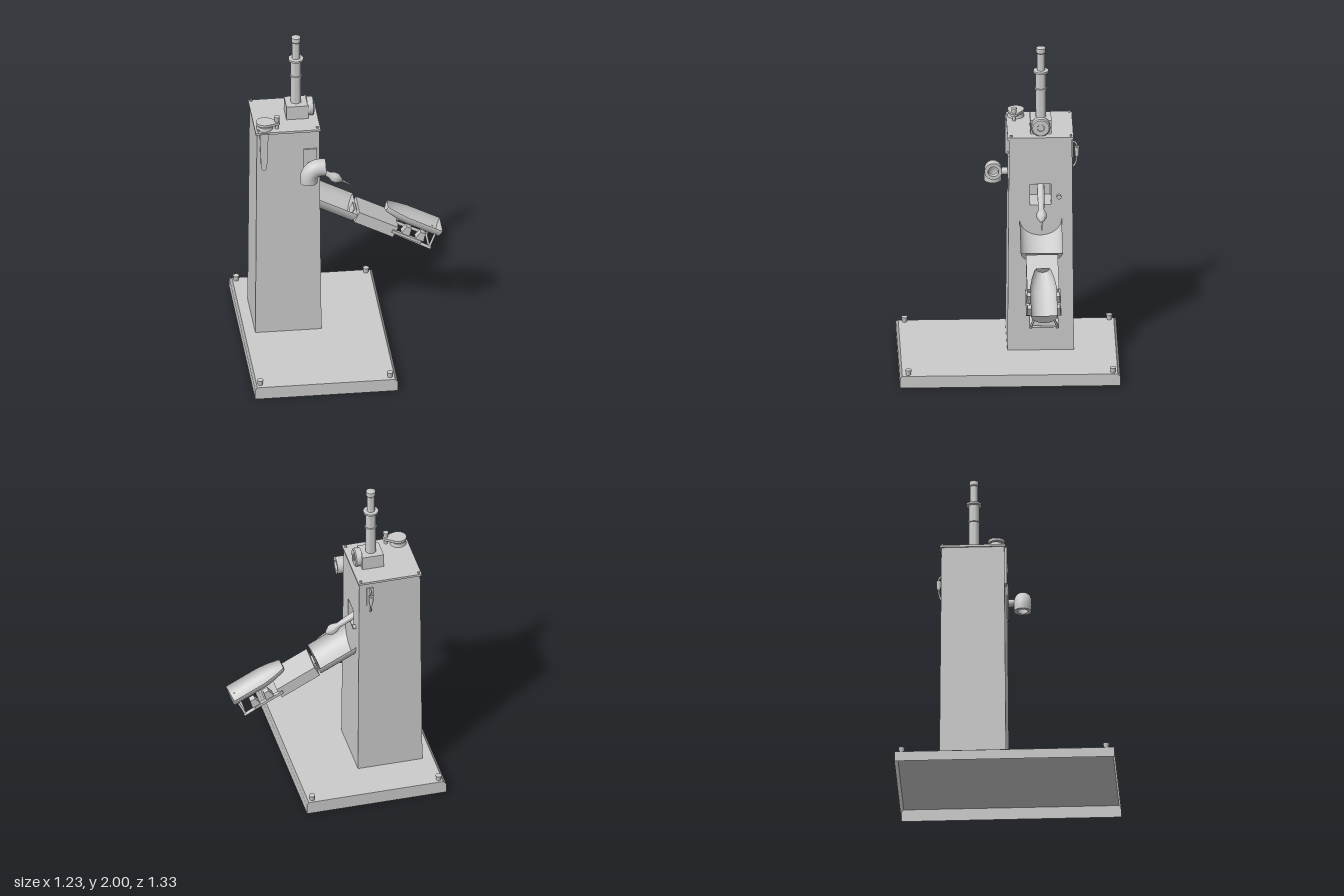
import * as THREE from 'three';
import { toCreasedNormals } from 'three/addons/utils/BufferGeometryUtils.js';

const grey = new THREE.MeshStandardMaterial({ color: 0xcccccc });
const thin = new THREE.MeshStandardMaterial({ color: 0xcccccc, side: THREE.DoubleSide });
const V = (x, y, z) => new THREE.Vector3(x, y, z);

function add(parent, name, geo, x = 0, y = 0, z = 0, mat = grey) {
  const m = new THREE.Mesh(geo, mat);
  m.name = name;
  m.position.set(x, y, z);
  parent.add(m);
  return m;
}
// box given by its limits
function box(parent, name, x0, x1, y0, y1, z0, z1) {
  return add(parent, name, new THREE.BoxGeometry(x1 - x0, y1 - y0, z1 - z0),
    (x0 + x1) / 2, (y0 + y1) / 2, (z0 + z1) / 2);
}
const cyl = (r, h, r2 = r, n = 24) => new THREE.CylinderGeometry(r2, r, h, n);
const lathe = (pts) => toCreasedNormals(
  new THREE.LatheGeometry(pts.map(p => new THREE.Vector2(p[0], p[1])), 24), 0.6);

// rod between two points
function rod(parent, name, a, b, r) {
  const d = b.clone().sub(a);
  const m = add(parent, name, cyl(r, d.length(), r, 12));
  m.position.copy(a).addScaledVector(d, 0.5);
  m.quaternion.setFromUnitVectors(V(0, 1, 0), d.normalize());
}

// open-topped scoop with closed ends; stations are [distance, half width, depth]
function scoop(stations, top) {
  const N = 20, pos = [];
  const pt = ([s, w, d], j) => {
    const a = Math.PI * j / N;
    return [s, top - d * Math.sin(a), w * Math.cos(a)];
  };
  for (let i = 0; i < stations.length - 1; i++) {
    for (let j = 0; j < N; j++) {
      const a = pt(stations[i], j), b = pt(stations[i + 1], j);
      const c = pt(stations[i + 1], j + 1), d = pt(stations[i], j + 1);
      pos.push(...a, ...d, ...c, ...a, ...c, ...b);
    }
  }
  const first = stations[0], last = stations[stations.length - 1];
  for (let j = 0; j < N; j++) {
    pos.push(first[0], top, 0, ...pt(first, j + 1), ...pt(first, j));
    pos.push(last[0], top, 0, ...pt(last, j), ...pt(last, j + 1));
  }
  const g = new THREE.BufferGeometry();
  g.setAttribute('position', new THREE.Float32BufferAttribute(pos, 3));
  return toCreasedNormals(g, 0.6);
}

// box without some faces, tapering toward the top
function taperBox(w, h, d, topX, topZ, skip) {
  const g = new THREE.BoxGeometry(w, h, d), p = g.attributes.position;
  for (let i = 0; i < p.count; i++) {
    if (p.getY(i) > 0) p.setXYZ(i, p.getX(i) * topX, p.getY(i), p.getZ(i) * topZ);
  }
  g.setIndex([...g.index.array].filter((v, i) => !skip.includes(Math.floor(i / 6))));
  return g;
}

function buildBase(root) {
  const base = new THREE.Group();
  base.name = 'base';
  root.add(base);
  // hollow tray, open below, with a bevelled top edge
  add(base, 'baseWall', taperBox(0.864, 0.06, 1.325, 1, 1, [2, 3]), -0.185, 0.03, 0, thin);
  add(base, 'baseBevel', taperBox(0.864, 0.01, 1.325, 0.965, 0.977, [3]), -0.185, 0.065, 0, thin);
  for (const x of [-0.58, 0.205]) for (const z of [-0.62, 0.61]) {
    add(base, 'baseBolt', cyl(0.014, 0.032, 0.019), x, 0.086, z);
  }
}

function buildColumn(root) {
  const col = new THREE.Group();
  col.name = 'column';
  root.add(col);
  const cx = -0.338, cz = -0.195, h = 1.38, k = 0.945;
  add(col, 'columnBody', taperBox(0.4, h, 0.4, k, k, [0]), cx, 0.07 + h / 2, cz);
  // side wall with the pocket opening
  const wall = new THREE.Shape([[-0.005, 0.07], [0.395, 0.07], [0.384, 1.45], [0.006, 1.45]]
    .map(p => new THREE.Vector2(...p)));
  wall.holes.push(new THREE.Path([[0.13, 1.02], [0.13, 1.155], [0.257, 1.155], [0.257, 1.02]]
    .map(p => new THREE.Vector2(...p))));
  const g = new THREE.ShapeGeometry(wall);
  g.rotateY(Math.PI / 2);
  const p = g.attributes.position;
  for (let i = 0; i < p.count; i++) p.setX(i, cx + 0.2 - 0.011 * (p.getY(i) - 0.07) / h);
  g.computeVertexNormals();
  add(col, 'columnSideWall', g, 0, 0, 0, thin);
  add(col, 'pocket', taperBox(0.155, 0.135, 0.127, 1, 1, [0]), -0.2235, 1.0875, -0.1935, thin);
  // lid with corner pins
  box(col, 'lid', -0.535, -0.142, 1.448, 1.462, -0.393, 0.003);
  for (const x of [-0.518, -0.16]) for (const z of [-0.378, -0.018]) {
    add(col, 'lidPin', cyl(0.007, 0.012), x, 1.467, z);
  }
  const stub = add(col, 'sideStub', cyl(0.014, 0.03), -0.143, 1.075, -0.305);
  stub.rotation.z = Math.PI / 2;
}

function buildMast(root) {
  const mast = new THREE.Group();
  mast.name = 'mast';
  root.add(mast);
  box(mast, 'mastBlock', -0.333, -0.2, 1.46, 1.55, -0.262, -0.135);
  const wheel = add(mast, 'mastWheel', lathe([[0, 0], [0.057, 0], [0.057, 0.036],
    [0.05, 0.042], [0.022, 0.042], [0.02, 0.038], [0, 0.038]]), -0.205, 1.515, -0.197);
  wheel.rotation.z = -Math.PI / 2;
  add(mast, 'mastTube', lathe([[0.032, 1.54], [0.032, 1.725], [0.037, 1.727], [0.037, 1.737],
    [0.032, 1.739], [0.032, 1.838], [0.046, 1.84], [0.046, 1.852], [0.024, 1.854],
    [0.024, 1.965], [0.028, 1.97], [0.028, 1.998], [0.025, 2], [0, 2]]), -0.268, 0, -0.2);
}

function buildCrank(root) {
  const crank = new THREE.Group();
  crank.name = 'crank';
  root.add(crank);
  add(crank, 'crankFoot', cyl(0.05, 0.022, 0.046), -0.475, 1.473, -0.055);
  add(crank, 'crankHub', cyl(0.03, 0.012), -0.475, 1.488, -0.055);
  // teardrop lever
  const s = new THREE.Shape();
  s.absarc(0, 0, 0.05, 1.1, Math.PI * 2 - 1.1, false);
  s.absarc(0.075, 0, 0.018, -1.1, 1.1, false);
  const g = new THREE.ExtrudeGeometry(s, { depth: 0.016, bevelEnabled: false, curveSegments: 20 });
  g.rotateX(-Math.PI / 2);
  add(crank, 'crankLever', g, -0.475, 1.492, -0.055).rotation.y = -0.16;
  add(crank, 'crankPost', cyl(0.01, 0.06), -0.402, 1.492, -0.043);
  add(crank, 'crankKnob', cyl(0.014, 0.03, 0.017), -0.402, 1.53, -0.043);
  // flat handle hanging down the front
  const t = new THREE.Shape();
  t.moveTo(-0.026, 1.455);
  t.lineTo(-0.024, 1.38);
  t.lineTo(-0.018, 1.215);
  t.quadraticCurveTo(0, 1.19, 0.018, 1.215);
  t.lineTo(0.021, 1.38);
  t.lineTo(0.03, 1.455);
  add(crank, 'hangingHandle', new THREE.ExtrudeGeometry(t,
    { depth: 0.022, bevelEnabled: false }), -0.485, 0, -0.013);
}

function buildElbow(root) {
  const elbow = new THREE.Group();
  elbow.name = 'elbowPipe';
  root.add(elbow);
  box(elbow, 'elbowPlate', -0.247, -0.165, 1.1, 1.33, -0.02, 0.004);
  const neck = add(elbow, 'elbowNeck', cyl(0.023, 0.08), -0.205, 1.22, 0.02);
  neck.rotation.x = Math.PI / 2;
  const pts = [V(-0.225, 1.155, 0.09)];
  for (let i = 0; i <= 8; i++) {
    const a = Math.PI - i * Math.PI / 16;
    pts.push(V(-0.155 + 0.07 * Math.cos(a), 1.18 + 0.07 * Math.sin(a), 0.09));
  }
  pts.push(V(-0.125, 1.25, 0.09));
  const path = new THREE.CatmullRomCurve3(pts);
  add(elbow, 'elbowOuter', new THREE.TubeGeometry(path, 32, 0.053, 24), 0, 0, 0, thin);
  add(elbow, 'elbowInner', new THREE.TubeGeometry(path, 32, 0.032, 24), 0, 0, 0, thin);
  const ring = new THREE.RingGeometry(0.032, 0.053, 24);
  add(elbow, 'elbowMouth', ring, -0.125, 1.25, 0.09, thin).rotation.y = Math.PI / 2;
  add(elbow, 'elbowBottom', ring, -0.225, 1.155, 0.09, thin).rotation.x = Math.PI / 2;
}

function buildBackHandle(root) {
  const back = new THREE.Group();
  back.name = 'backHandle';
  root.add(back);
  box(back, 'backPlate', -0.235, -0.195, 1.23, 1.415, -0.392, -0.375);
  const path = new THREE.CatmullRomCurve3([V(0, 1.4, -0.38), V(0, 1.4, -0.402),
    V(0, 1.38, -0.415), V(0, 1.32, -0.415), V(0, 1.28, -0.412), V(0, 1.25, -0.4), V(0, 1.24, -0.38)]);
  add(back, 'backCable', new THREE.TubeGeometry(path, 30, 0.006, 10), -0.215);
  add(back, 'backGrip', cyl(0.011, 0.06, 0.015), -0.215, 1.34, -0.415);
}

function buildArm(root) {
  // sloping arm: local x runs down the slope
  const arm = new THREE.Group();
  arm.name = 'arm';
  arm.position.set(-0.145, 0.93, -0.195);
  arm.rotation.z = -0.48;
  root.add(arm);
  add(arm, 'trough', scoop([[-0.01, 0.127, 0.095], [0.265, 0.127, 0.095]], 0), 0, 0, 0, thin);
  box(arm, 'armNeck', 0.26, 0.29, -0.065, -0.015, -0.04, 0.04);
  box(arm, 'armBeam', 0.28, 0.545, -0.07, 0.003, -0.096, 0.096);
  add(arm, 'headScoop', scoop([[0.445, 0.04, 0.04], [0.46, 0.05, 0.048], [0.52, 0.068, 0.06],
    [0.59, 0.08, 0.068], [0.81, 0.08, 0.07]], 0.08), 0, 0, 0, thin);
  for (const k of [-1, 1]) {
    rod(arm, 'rail', V(0.53, -0.05, 0.07 * k), V(0.795, -0.052, 0.08 * k), 0.01);
    rod(arm, 'railPost', V(0.785, -0.052, 0.08 * k), V(0.785, 0.03, 0.055 * k), 0.007);
    box(arm, 'sideRunner', 0.52, 0.715, -0.04, -0.022, 0.095 * k - 0.011, 0.095 * k + 0.011);
    for (const s of [0.605, 0.7]) {
      add(arm, 'bracket', taperBox(0.055, 0.05, 0.05, 0.6, 0.8, []), s, 0.004, 0.078 * k);
    }
  }
  rod(arm, 'railCrossbar', V(0.785, -0.052, -0.08), V(0.785, -0.052, 0.08), 0.007);
}

export function createModel() {
  const root = new THREE.Group();
  root.name = 'model';
  for (const build of [buildBase, buildColumn, buildMast, buildCrank, buildElbow,
    buildBackHandle, buildArm]) build(root);
  // tapered nozzle leaning out of the pocket
  const nozzle = add(root, 'nozzle', lathe([[0, 0], [0.022, 0], [0.022, 0.15], [0.017, 0.26],
    [0.03, 0.29], [0.03, 0.315], [0.012, 0.345], [0.006, 0.35], [0.004, 0.41], [0, 0.41]]),
    -0.29, 1.155, -0.197);
  nozzle.rotation.z = -Math.PI / 2 - 0.54;
  return root;
}
